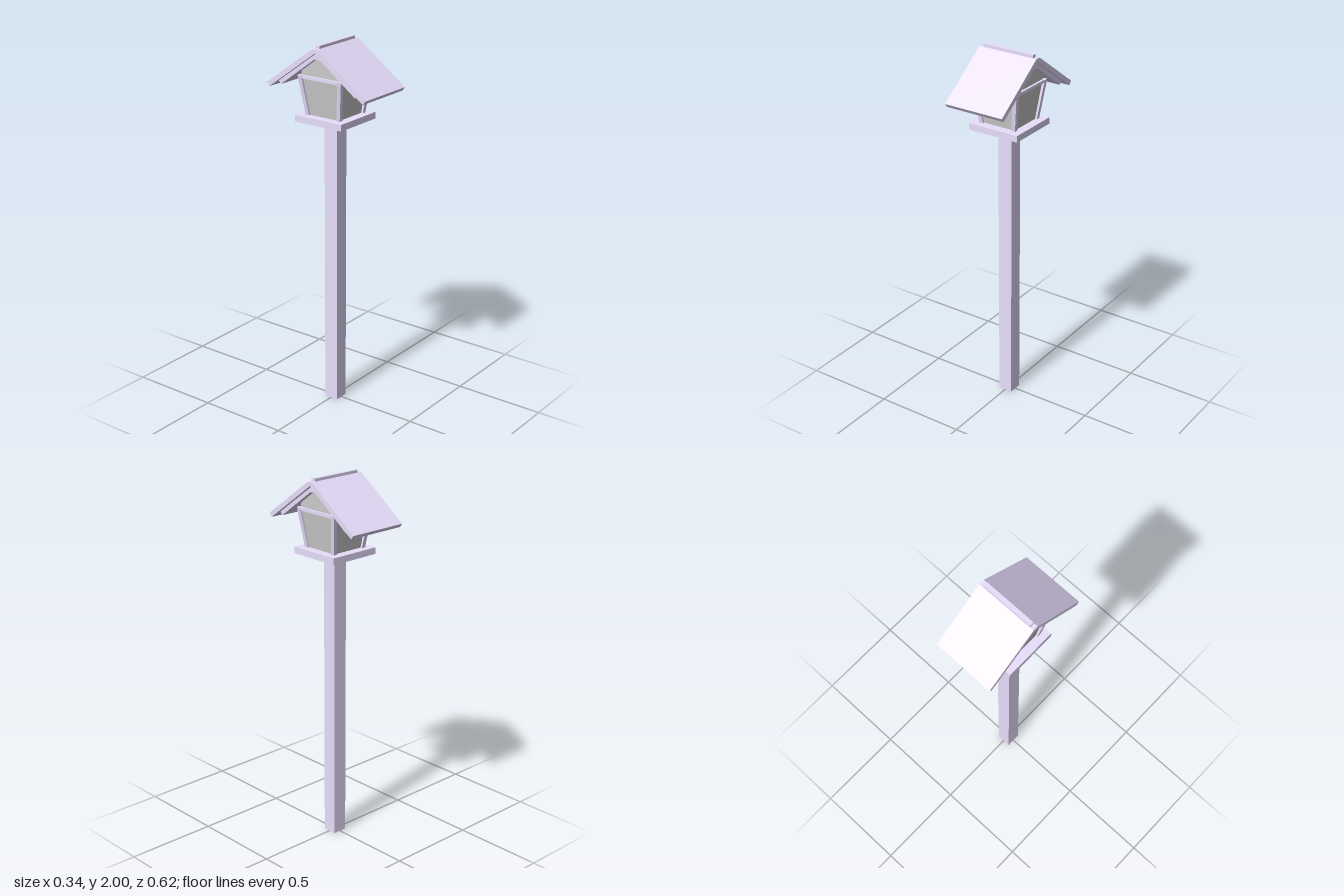
import * as THREE from 'three';

const wood = new THREE.MeshStandardMaterial({ color: 0xe8defc, flatShading: true });
const panel = new THREE.MeshStandardMaterial({ color: 0xcccccc, flatShading: true });

export function createModel() {
  const model = new THREE.Group();

  function add(name, geometry, material = wood) {
    const mesh = new THREE.Mesh(geometry, material);
    mesh.name = name;
    model.add(mesh);
    return mesh;
  }

  // Box between two heights, centred on x and z unless moved
  function box(name, w, y0, y1, d, x = 0, z = 0) {
    add(name, new THREE.BoxGeometry(w, y1 - y0, d).translate(x, (y0 + y1) / 2, z));
  }

  // Half profile of [z, y] points, mirrored in z and extruded along x
  function gableSolid(name, half, length, material) {
    const mirrored = half.filter(p => p[0] > 0).map(([z, y]) => [-z, y]).reverse();
    const shape = new THREE.Shape([...half, ...mirrored].map(p => new THREE.Vector2(...p)));
    const geo = new THREE.ExtrudeGeometry(shape, { depth: length, bevelEnabled: false });
    geo.translate(0, 0, -length / 2).rotateY(Math.PI / 2);
    add(name, geo, material);
  }

  // Post and floor
  box('post', 0.08, 0, 1.585, 0.08);
  box('floorBoard', 0.294, 1.585, 1.62, 0.294);

  // Flared wall panels
  const y0 = 1.62, y1 = 1.83;
  const walls = new THREE.BoxGeometry(1, y1 - y0, 1).translate(0, (y0 + y1) / 2, 0);
  const wp = walls.attributes.position;
  for (let i = 0; i < wp.count; i++) {
    const w = wp.getY(i) > 1.7 ? 0.246 : 0.196;
    wp.setX(i, wp.getX(i) * w);
    wp.setZ(i, wp.getZ(i) * w);
  }
  walls.computeVertexNormals();
  add('wallPanels', walls, panel);

  // Leaning corner posts
  for (const sx of [-1, 1]) for (const sz of [-1, 1]) {
    const geo = new THREE.BoxGeometry(0.022, y1 - y0, 0.022);
    geo.translate(0, (y0 + y1) / 2, 0);
    const p = geo.attributes.position;
    for (let i = 0; i < p.count; i++) {
      const c = p.getY(i) > 1.7 ? 0.126 : 0.098;
      p.setX(i, p.getX(i) + sx * c);
      p.setZ(i, p.getZ(i) + sz * c);
    }
    geo.computeVertexNormals();
    add('cornerPost', geo);
  }

  // Rails joining the tops of the corner posts
  for (const s of [-1, 1]) {
    box('sideRail', 0.018, 1.814, 1.83, 0.24, s * 0.125, 0);
    box('endRail', 0.24, 1.814, 1.83, 0.018, 0, s * 0.125);
  }

  // Gable walls under the roof
  gableSolid('gableWall', [[0.124, 1.825], [0.124, 1.85], [0.02, 1.93]], 0.24, panel);

  // Roof with a smaller lining beneath, and the ridge cap
  gableSolid('roof', [[0.015, 1.985], [0.31, 1.772], [0.295, 1.752], [0, 1.965]], 0.34);
  gableSolid('roofLining',
    [[0, 1.965], [0.248, 1.786], [0.234, 1.769], [0.018, 1.928]], 0.3);
  box('ridgeCap', 0.294, 1.98, 2, 0.024);

  return model;
}
